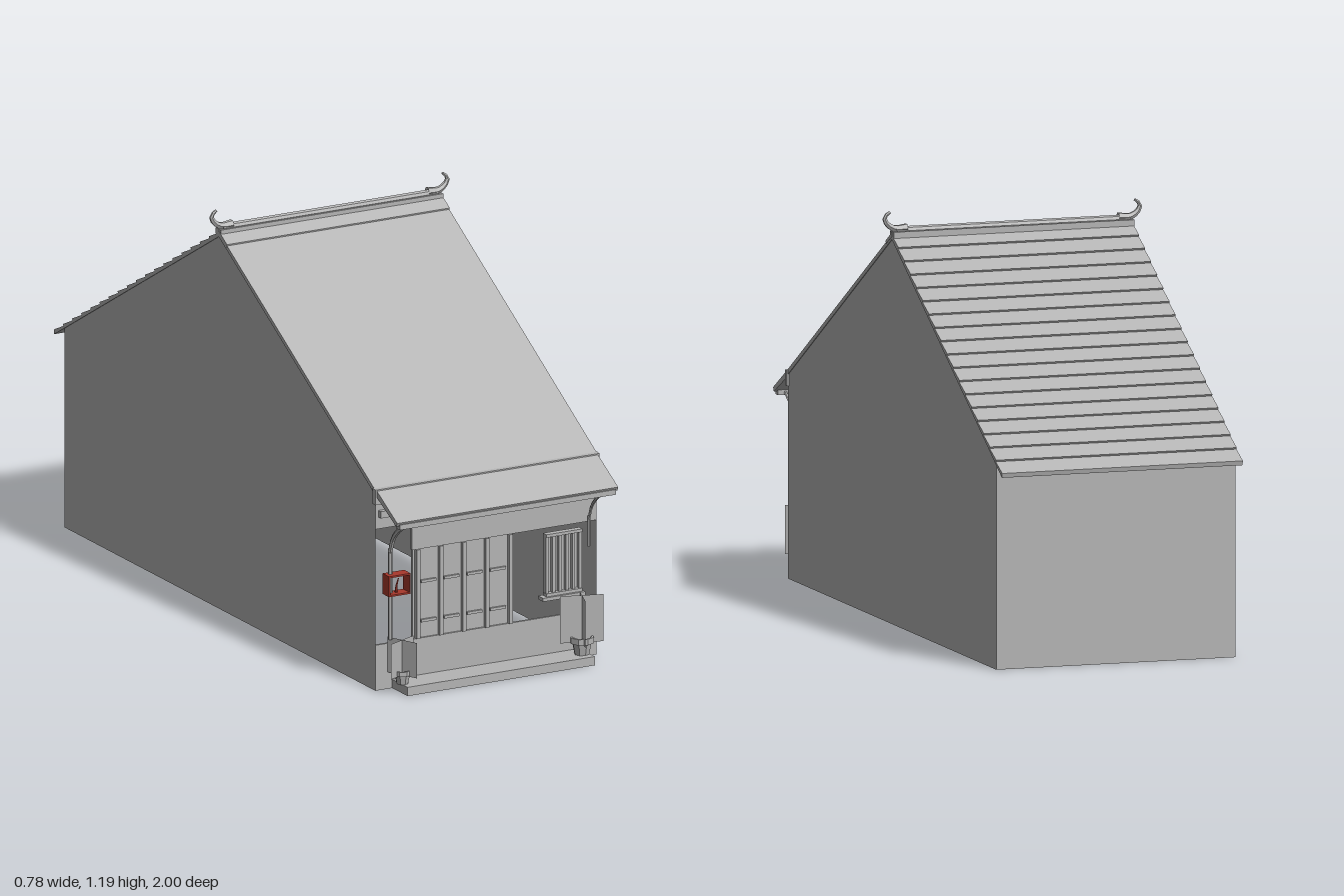
import * as THREE from 'three';

const grey = new THREE.MeshStandardMaterial({ color: 0xb4b4b4, side: THREE.DoubleSide, flatShading: true });
grey.name = 'plainGrey';
const red = new THREE.MeshStandardMaterial({ color: 0xa8382c, side: THREE.DoubleSide, flatShading: true });
red.name = 'lanternRed';

function add(parent, name, geometry, material = grey) {
  const mesh = new THREE.Mesh(geometry, material);
  mesh.name = name;
  parent.add(mesh);
  return mesh;
}

// Box given by its limits on each axis
function block(parent, name, [x0, x1], [y0, y1], [z0, z1], material = grey) {
  const g = new THREE.BoxGeometry(x1 - x0, y1 - y0, z1 - z0);
  g.translate((x0 + x1) / 2, (y0 + y1) / 2, (z0 + z1) / 2);
  return add(parent, name, g, material);
}

// Profile of [z, y] points drawn out along x
function prismX(points, x0, x1) {
  const shape = new THREE.Shape(points.map(([z, y]) => new THREE.Vector2(z, y)));
  const g = new THREE.ExtrudeGeometry(shape, { depth: x1 - x0, bevelEnabled: false });
  g.rotateY(-Math.PI / 2);
  return g.translate(x1, 0, 0);
}

// Tube whose radius shrinks from r0 to r1
function taperedTube(points, r0, r1, sides = 6) {
  const curve = new THREE.CatmullRomCurve3(points.map(p => new THREE.Vector3(...p)));
  const steps = 8;
  const g = new THREE.TubeGeometry(curve, steps, r0, sides, false);
  const pos = g.attributes.position, v = new THREE.Vector3();
  for (let i = 0; i < pos.count; i++) {
    const t = Math.floor(i / (sides + 1)) / steps;
    const c = curve.getPointAt(t);
    v.fromBufferAttribute(pos, i).sub(c).multiplyScalar(1 + (r1 / r0 - 1) * t).add(c);
    pos.setXYZ(i, v.x, v.y, v.z);
  }
  return g;
}

function buildWalls(house) {
  const gable = new THREE.Shape([[0.87, 0], [0.87, 0.59], [-0.04, 1.115], [-0.94, 0.6], [-0.94, 0]]
    .map(([z, y]) => new THREE.Vector2(z, y)));
  for (const side of [-1, 1]) {
    const g = new THREE.ShapeGeometry(gable);
    g.rotateY(-Math.PI / 2).translate(side * 0.36, 0, 0);
    add(house, side > 0 ? 'leftWall' : 'rightWall', g);
  }
  const back = new THREE.PlaneGeometry(0.72, 0.6);
  back.rotateY(Math.PI).translate(0, 0.3, -0.94);
  add(house, 'backWall', back);
  // Open shopfront between a low band and a lintel
  block(house, 'lowerFrontWall', [-0.36, 0.36], [0, 0.135], [0.862, 0.87]);
  block(house, 'lintel', [-0.24, 0.36], [0.4, 0.59], [0.862, 0.87]);
  block(house, 'cornerLintel', [-0.36, -0.24], [0.48, 0.59], [0.862, 0.87]);
  block(house, 'frontStep', [-0.305, 0.305], [0, 0.026], [0.87, 0.96]);
}

function buildRoof(house) {
  add(house, 'frontRoof', prismX([[-0.04, 1.122], [0.875, 0.597], [0.868, 0.586], [-0.04, 1.108]], -0.362, 0.362));
  // Back slope with overlapping tile courses
  const rows = 18, top = [], z0 = -0.04, z1 = -0.995, y0 = 1.118, y1 = 0.568;
  for (let i = 0; i < rows; i++) {
    const a = i / rows, b = (i + 1) / rows;
    top.push([z0 + (z1 - z0) * a, y0 + (y1 - y0) * a]);
    top.push([z0 + (z1 - z0) * b - 0.003, y0 + (y1 - y0) * b + 0.005]);
  }
  add(house, 'backTiles', prismX([...top, [z1, 0.56], [z0, 1.106]], -0.362, 0.362));
  // Ridge flashing, beam and curled ends
  add(house, 'ridgeFlashing', prismX([[-0.04, 1.127], [0.012, 1.097], [0.01, 1.088], [-0.04, 1.115]], -0.363, 0.363));
  block(house, 'ridgeBase', [-0.362, 0.362], [1.112, 1.13], [-0.056, -0.024]);
  const beam = new THREE.CylinderGeometry(0.012, 0.012, 0.7, 8);
  beam.rotateZ(Math.PI / 2).translate(0, 1.132, -0.04);
  add(house, 'ridgeBeam', beam);
  for (const s of [-1, 1]) {
    const horn = [[0.318, 1.138], [0.355, 1.138], [0.379, 1.155], [0.384, 1.172], [0.368, 1.186]];
    add(house, 'ridgeHorn', taperedTube(horn.map(([x, y]) => [s * x, y, -0.04]), 0.014, 0.004));
  }
}

function buildAwning(house) {
  add(house, 'awning', prismX([[0.862, 0.6], [0.875, 0.599], [0.998, 0.532], [0.992, 0.52], [0.862, 0.586]], -0.36, 0.36));
  add(house, 'awningTopStrip', prismX([[0.862, 0.602], [0.88, 0.6], [0.88, 0.555], [0.862, 0.555]], -0.365, 0.365));
  block(house, 'awningFrontBar', [-0.352, 0.352], [0.511, 0.526], [0.979, 0.999]);
  block(house, 'awningWallBar', [-0.35, 0.35], [0.515, 0.535], [0.87, 0.885]);
  // Curved struts, with a full post on the right
  for (const [x, r, low] of [[-0.318, 0.008, 0.15], [0.329, 0.005, 0.33]]) {
    const bend = [[x, 0.52, 0.985], [x, 0.49, 0.935], [x, 0.455, 0.9], [x, 0.41, 0.882]];
    add(house, 'awningStrut', taperedTube(bend, r, r * 0.85));
    const post = new THREE.CylinderGeometry(r * 0.85, r * 0.85, 0.42 - low, 6);
    post.translate(x, (0.42 + low) / 2, 0.882);
    add(house, 'awningPost', post);
  }
}

function buildShopfront(house) {
  const door = new THREE.Group();
  door.name = 'slidingDoors';
  house.add(door);
  block(door, 'doorPanel', [-0.235, 0.088], [0.135, 0.4], [0.856, 0.864]);
  const posts = [-0.222, -0.147, -0.072, 0.003, 0.08];
  posts.forEach((x, i) => {
    block(door, 'doorStile', [x - 0.006, x + 0.006], [0.135, 0.4], [0.862, 0.876]);
    if (i === 4) return;
    for (const y of [0.185, 0.19 + 0.112])
      block(door, 'doorRail', [x + 0.012, posts[i + 1] - 0.014], [y - 0.004, y + 0.004], [0.862, 0.871]);
  });

  const win = new THREE.Group();
  win.name = 'barredWindow';
  house.add(win);
  block(win, 'windowPane', [0.192, 0.306], [0.2, 0.384], [0.862, 0.868]);
  block(win, 'windowSill', [0.175, 0.312], [0.19, 0.2], [0.862, 0.892]);
  for (const y of [0.2, 0.376]) block(win, 'windowRail', [0.19, 0.308], [y, y + 0.009], [0.864, 0.884]);
  for (let i = 0; i < 6; i++) {
    const x = 0.195 + i * 0.0216;
    block(win, 'windowBar', [x - 0.0045, x + 0.0045], [0.2, 0.384], [0.866, 0.88]);
  }
}

function buildLantern(house) {
  // Open red frame hung on the post
  const lantern = new THREE.Group();
  lantern.name = 'redLantern';
  house.add(lantern);
  const z = [0.868, 0.906];
  for (const y of [0.284, 0.34]) block(lantern, 'lanternPlate', [-0.335, -0.265], [y, y + 0.005], z, red);
  for (const x of [-0.335, -0.269]) block(lantern, 'lanternSide', [x, x + 0.004], [0.284, 0.345], z, red);
  add(lantern, 'lanternWick', taperedTube([[-0.302, 0.289, 0.887], [-0.3, 0.31, 0.887], [-0.294, 0.33, 0.887]], 0.004, 0.0015), red);
}

function buildPlant(house, x, z, width, bottom, height, turn, potScale) {
  const plant = new THREE.Group();
  plant.name = 'pottedPlant';
  plant.position.set(x, 0, z);
  house.add(plant);
  // Two crossed foliage cards
  for (const a of [0, Math.PI / 2]) {
    const card = new THREE.PlaneGeometry(width, height);
    card.rotateY(turn + a).translate(0, bottom + height / 2, 0);
    add(plant, 'foliageCard', card);
  }
  const profile = [[0, 0], [0.019, 0], [0.025, 0.03], [0.031, 0.03], [0.031, 0.045], [0.025, 0.045], [0.023, 0.034], [0, 0.034]]
    .map(([r, y]) => new THREE.Vector2(r * potScale, y * potScale));
  add(plant, 'flowerPot', new THREE.LatheGeometry(profile, 8)).position.y = 0.026;
}

export function createModel() {
  const house = new THREE.Group();
  house.name = 'townhouse';
  buildWalls(house);
  buildRoof(house);
  buildAwning(house);
  buildShopfront(house);
  buildLantern(house);
  buildPlant(house, 0.286, 0.918, 0.125, 0.06, 0.14, -0.33, 1.15);
  buildPlant(house, -0.299, 0.918, 0.105, 0.05, 0.105, 0.42, 0.9);
  return house;
}
